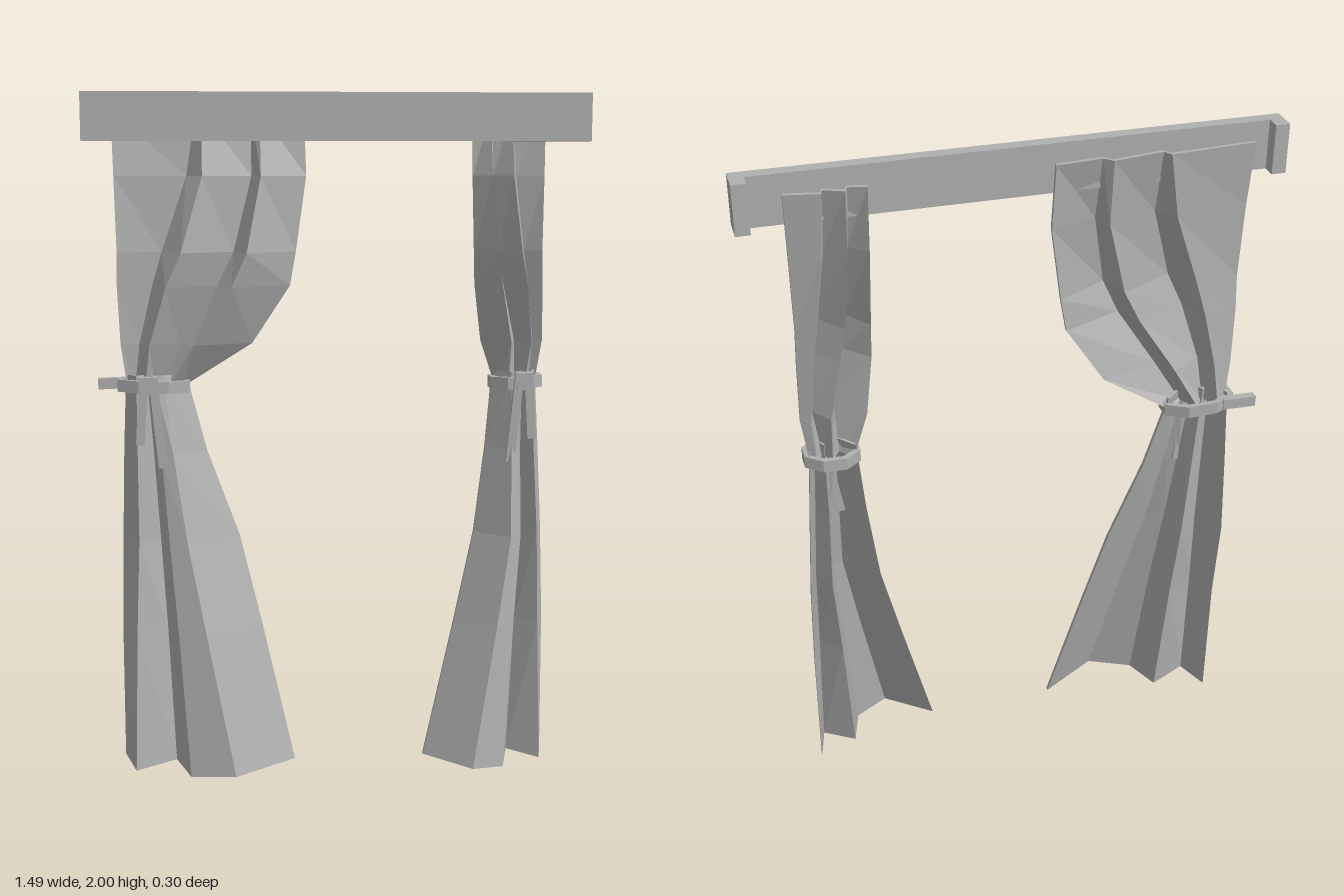
import * as THREE from 'three';

const grey = new THREE.MeshStandardMaterial({ color: 0xb0b0b0, flatShading: true });
grey.name = 'plain grey';

// Each row: y, x of six fold lines, z of six fold lines, [outer, inner] x on the narrow curtain
const UPPER = [
  [1.95, [-0.66, -0.415, -0.4, -0.255, -0.23, -0.1], [-0.1, -0.118, -0.095, -0.118, -0.095, -0.105], [0.617, 0.4]],
  [1.76, [-0.655, -0.445, -0.4, -0.255, -0.23, -0.095], [-0.08, -0.108, -0.05, -0.1, -0.045, -0.09], [0.612, 0.4]],
  [1.54, [-0.65, -0.52, -0.465, -0.31, -0.275, -0.127], [-0.07, -0.1, -0.01, -0.085, 0.002, -0.08], [0.608, 0.405]],
  [1.44, [-0.652, -0.55, -0.51, -0.36, -0.32, -0.145], [-0.075, -0.1, -0.015, -0.085, -0.005, -0.08], [0.612, 0.408]],
  [1.27, [-0.645, -0.59, -0.56, -0.47, -0.43, -0.257], [-0.085, -0.1, -0.04, -0.095, -0.035, -0.09], [0.615, 0.43]],
  [1.14, [-0.628, -0.605, -0.575, -0.545, -0.51, -0.465], [-0.1, -0.11, -0.06, -0.1, -0.055, -0.1], [0.597, 0.475]],
];
const LOWER = [
  [1.18, [-0.632, -0.6, -0.57, -0.55, -0.52, -0.455], [-0.11, -0.045, -0.075, -0.04, -0.045, -0.1], [0.6, 0.468]],
  [0.95, [-0.642, -0.6, -0.553, -0.53, -0.495, -0.395], [-0.11, -0.03, -0.075, -0.02, -0.01, -0.08], [0.613, 0.445]],
  [0.69, [-0.65, -0.6, -0.537, -0.51, -0.457, -0.3], [-0.112, -0.015, -0.07, 0.015, 0.035, -0.06], [0.627, 0.41]],
  [0.42, [-0.655, -0.61, -0.52, -0.487, -0.405, -0.235], [-0.07, 0.015, -0.045, 0.055, 0.085, -0.02], [0.627, 0.345]],
  [0, [-0.655, -0.62, -0.5, -0.457, -0.325, -0.145], [-0.06, 0.055, -0.01, 0.11, 0.155, 0.04], [0.627, 0.245]],
];
const HEM = [0.018, 0.004, 0.012, 0, 0.012, 0.022];

// Pleated cloth of small thickness, lofted through the rows
function cloth(name, rows, narrow) {
  const pos = [], idx = [], n = 12;
  for (const [y, xs, zs, [outer, inner]] of rows) {
    for (let k = 0; k < n; k++) {
      const i = k < 6 ? k : 11 - k;
      const u = (xs[i] - xs[0]) / (xs[5] - xs[0]);
      const x = narrow ? outer + (inner - outer) * u : xs[i];
      pos.push(x, y + (y === 0 ? HEM[i] : 0), zs[i] - (k < 6 ? 0 : 0.012));
    }
  }
  const tri = (a, b, c) => (narrow ? idx.push(a, c, b) : idx.push(a, b, c));
  const quad = (a, b, c, d) => { tri(a, b, c); tri(a, c, d); };
  for (let r = 0; r < rows.length - 1; r++) {
    for (let k = 0; k < n; k++) {
      const a = r * n + k, b = r * n + (k + 1) % n;
      quad(a, a + n, b + n, b);
    }
  }
  // Top edge and hem
  const last = (rows.length - 1) * n;
  for (let i = 0; i < 5; i++) {
    quad(i, i + 1, 10 - i, 11 - i);
    quad(last + i, last + 11 - i, last + 10 - i, last + i + 1);
  }
  const g = new THREE.BufferGeometry();
  g.setAttribute('position', new THREE.Float32BufferAttribute(pos, 3));
  g.setIndex(idx);
  g.computeVertexNormals();
  const m = new THREE.Mesh(g, grey);
  m.name = name;
  return m;
}

function box(name, w, h, d, x, y, z, tilt = 0) {
  const m = new THREE.Mesh(new THREE.BoxGeometry(w, h, d), grey);
  m.name = name;
  m.position.set(x, y, z);
  m.rotation.z = tilt;
  return m;
}

// Octagonal band wrapped round the gathered cloth
function band(cx, rx, tilt) {
  const ring = (a, b) => {
    const pts = [];
    for (let i = 0; i < 8; i++) {
      const t = ((i + 0.5) / 8) * Math.PI * 2;
      pts.push(new THREE.Vector2(Math.cos(t) * a, Math.sin(t) * b));
    }
    return pts;
  };
  const s = new THREE.Shape(ring(rx, 0.067));
  s.holes.push(new THREE.Path(ring(rx - 0.018, 0.05)));
  const g = new THREE.ExtrudeGeometry(s, { depth: 0.036, bevelEnabled: false });
  g.translate(0, 0, -0.018);
  g.rotateX(-Math.PI / 2);
  const m = new THREE.Mesh(g, grey);
  m.name = 'tieBand';
  m.position.set(cx, 1.148, -0.088);
  m.rotation.z = tilt;
  return m;
}

// Band, knot and two hanging tails; side is the direction of the outer edge
function tieBack(name, cx, rx, side) {
  const g = new THREE.Group();
  g.name = name;
  g.add(band(cx, rx, side * 0.03));
  g.add(box('tieKnot', 0.045, 0.05, 0.035, cx + side * 0.015, 1.155, -0.025));
  g.add(box('longTail', 0.026, 0.27, 0.02, cx - side * 0.012, 1.045, -0.022, side * -0.1));
  g.add(box('shortTail', 0.026, 0.2, 0.02, cx + side * 0.035, 1.08, -0.03, side * 0.06));
  return g;
}

export function createModel() {
  const model = new THREE.Group();
  model.name = 'curtains';

  // Pelmet with short returns at both ends
  const pelmet = new THREE.Group();
  pelmet.name = 'pelmet';
  pelmet.add(box('pelmetBoard', 1.49, 0.14, 0.037, 0, 1.93, -0.07));
  for (const s of [-1, 1]) pelmet.add(box('pelmetReturn', 0.04, 0.14, 0.042, s * 0.725, 1.93, -0.109));
  model.add(pelmet);

  // Wide curtain on the right, narrow one on the left
  for (const narrow of [false, true]) {
    const g = new THREE.Group();
    g.name = narrow ? 'leftCurtain' : 'rightCurtain';
    g.add(cloth('upperCloth', UPPER, narrow), cloth('lowerCloth', LOWER, narrow));
    g.add(narrow ? tieBack('leftTie', 0.535, 0.085, 1) : tieBack('rightTie', -0.55, 0.115, -1));
    model.add(g);
  }
  // Loose end of the wide tie reaching to the wall side
  model.add(box('tieHookEnd', 0.1, 0.032, 0.025, -0.665, 1.15, -0.13, 0.03));
  return model;
}
